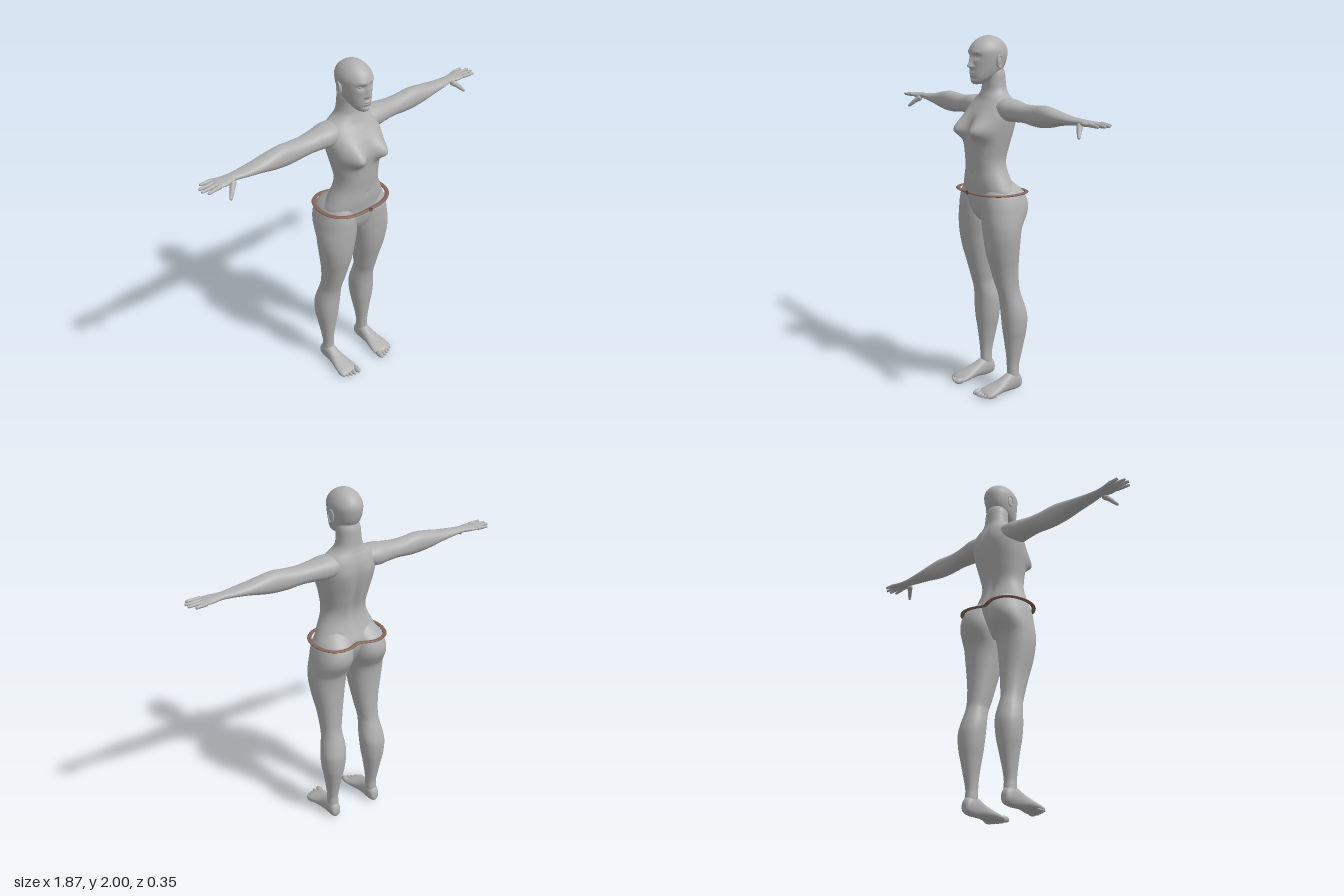
import * as THREE from 'three';

const skin = new THREE.MeshStandardMaterial({ color: 0xb0b0b0 });
skin.name = 'grey skin';
const leather = new THREE.MeshStandardMaterial({ color: 0x84665a });
leather.name = 'brown leather';
const darkLeather = new THREE.MeshStandardMaterial({ color: 0x4a3a34 });
darkLeather.name = 'dark leather';

// Axis order of a loft: [along, first side, second side]
const AXES = { x: [0, 2, 1], y: [1, 0, 2], z: [2, 1, 0] };

// Smooth closed skin through rings of [along, minA, maxA, minB, maxB]
function loft(axis, rings, { sides = 40, sub = 4, power = 0.92 } = {}) {
  const [T, A, B] = AXES[axis];
  const pos = [], index = [], n = (rings.length - 1) * sub;
  const at = (i) => rings[Math.min(Math.max(i, 0), rings.length - 1)];
  const sample = (k) => {
    const i = Math.min(Math.floor(k / sub), rings.length - 2), u = k / sub - i;
    return rings[0].map((_, c) => {
      const p0 = at(i - 1)[c], p1 = at(i)[c], p2 = at(i + 1)[c], p3 = at(i + 2)[c];
      return 0.5 * (2 * p1 + (p2 - p0) * u + (2 * p0 - 5 * p1 + 4 * p2 - p3) * u * u
        + (3 * p1 - p0 - 3 * p2 + p3) * u * u * u);
    });
  };
  const put = (t, a, b) => {
    const p = [0, 0, 0];
    p[T] = t; p[A] = a; p[B] = b;
    pos.push(...p);
  };
  const bend = (v) => Math.sign(v) * Math.abs(v) ** power;
  for (let k = 0; k <= n; k++) {
    const [t, a0, a1, b0, b1] = sample(k);
    for (let j = 0; j < sides; j++) {
      const w = (j / sides) * Math.PI * 2;
      put(t, (a0 + a1) / 2 + (a1 - a0) / 2 * bend(Math.cos(w)), (b0 + b1) / 2 + (b1 - b0) / 2 * bend(Math.sin(w)));
    }
  }
  for (const k of [0, n]) {
    const [t, a0, a1, b0, b1] = sample(k);
    put(t, (a0 + a1) / 2, (b0 + b1) / 2);
  }
  const low = (n + 1) * sides, high = low + 1;
  for (let j = 0; j < sides; j++) {
    const j2 = (j + 1) % sides;
    for (let k = 0; k < n; k++) {
      const a = k * sides + j, b = a + sides, c = k * sides + j2, d = c + sides;
      index.push(a, b, c, b, d, c);
    }
    index.push(low, j, j2, high, n * sides + j2, n * sides + j);
  }
  const geo = new THREE.BufferGeometry();
  geo.setAttribute('position', new THREE.Float32BufferAttribute(pos, 3));
  geo.setIndex(index);
  geo.computeVertexNormals();
  return geo;
}

// Rings symmetric about x = 0: [y, halfWidth, zBack, zFront]
const symmetric = (rows) => rows.map(([y, w, b, f]) => [y, -w, w, b, f]);

// Push the front (side 1) or back (side -1) in z by soft bumps on both halves:
// [x, y, spreadX, spreadBelow, spreadAbove, amount]
function sculpt(geo, side, bumps) {
  const p = geo.attributes.position;
  for (let i = 0; i < p.count; i++) {
    const x = Math.abs(p.getX(i)), y = p.getY(i), z = p.getZ(i);
    const fade = THREE.MathUtils.smoothstep(z * side, 0, 0.05);
    let d = 0;
    for (const [cx, cy, sx, sd, su, amount] of bumps)
      d += amount * Math.exp(-(((x - cx) / sx) ** 2) - ((y - cy) / (y < cy ? sd : su)) ** 2);
    p.setZ(i, z + d * fade);
  }
  geo.computeVertexNormals();
  return geo;
}

// Tapered round-ended digit between two points
function digit(from, to, r0, r1) {
  const a = new THREE.Vector3(...from), dir = new THREE.Vector3(...to).sub(a), len = dir.length();
  const pts = [];
  for (let i = 0; i <= 5; i++) {
    const w = (i / 5) * Math.PI / 2;
    pts.push(new THREE.Vector2(r0 * Math.sin(w), r0 - r0 * Math.cos(w)));
  }
  for (let i = 0; i <= 5; i++) {
    const w = (i / 5) * Math.PI / 2;
    pts.push(new THREE.Vector2(r1 * Math.cos(w), len - r1 + r1 * Math.sin(w)));
  }
  const q = new THREE.Quaternion().setFromUnitVectors(new THREE.Vector3(0, 1, 0), dir.normalize());
  return new THREE.LatheGeometry(pts, 14).applyQuaternion(q).translate(a.x, a.y, a.z);
}

const ellipsoid = (x, y, z, rx, ry, rz) =>
  new THREE.SphereGeometry(1, 20, 14).scale(rx, ry, rz).translate(x, y, z);

function mirrored(geo) {
  const g = geo.clone().scale(-1, 1, 1), ix = g.index.array;
  for (let i = 0; i < ix.length; i += 3) [ix[i], ix[i + 1]] = [ix[i + 1], ix[i]];
  return g;
}

export function createModel() {
  const model = new THREE.Group();
  model.name = 'figure';
  const add = (name, geo, mat = skin) => {
    const mesh = new THREE.Mesh(geo, mat);
    mesh.name = name;
    model.add(mesh);
  };
  const pair = (name, geo) => {
    add(name + 'Left', geo);
    add(name + 'Right', mirrored(geo));
  };

  // Torso and neck, with bust, navel and spine groove
  const torso = loft('y', symmetric([
    [0.98, 0.02, -0.05, 0.03], [1.0, 0.06, -0.07, 0.06], [1.05, 0.13, -0.1, 0.085],
    [1.1, 0.175, -0.12, 0.095], [1.155, 0.19, -0.125, 0.1], [1.21, 0.168, -0.105, 0.107],
    [1.28, 0.137, -0.085, 0.11], [1.34, 0.128, -0.085, 0.117], [1.42, 0.142, -0.105, 0.122],
    [1.5, 0.158, -0.125, 0.118], [1.57, 0.166, -0.135, 0.1], [1.62, 0.16, -0.132, 0.07],
    [1.655, 0.135, -0.122, 0.045], [1.682, 0.095, -0.112, 0.033], [1.71, 0.074, -0.104, 0.024],
    [1.75, 0.067, -0.1, 0.024], [1.8, 0.064, -0.095, 0.03], [1.84, 0.05, -0.08, 0.03],
  ]), { sides: 80, sub: 6 });
  sculpt(torso, 1, [
    [0.085, 1.495, 0.052, 0.042, 0.065, 0.068],
    [0, 1.25, 0.008, 0.012, 0.012, -0.008],
    [0, 1.36, 0.012, 0.08, 0.06, -0.004],
  ]);
  sculpt(torso, -1, [[0, 1.4, 0.022, 0.16, 0.2, 0.014], [0.08, 1.56, 0.04, 0.06, 0.05, -0.006]]);
  add('torso', torso);

  // Head with modelled face
  const head = loft('y', symmetric([
    [1.742, 0.018, 0.05, 0.09], [1.752, 0.034, 0.02, 0.1], [1.775, 0.052, -0.02, 0.105],
    [1.805, 0.066, -0.07, 0.107], [1.84, 0.076, -0.096, 0.107], [1.88, 0.083, -0.109, 0.109],
    [1.92, 0.084, -0.112, 0.11], [1.955, 0.071, -0.096, 0.091], [1.98, 0.05, -0.067, 0.06],
    [1.994, 0.026, -0.036, 0.03], [2.0, 0.004, -0.005, 0.003],
  ]), { sides: 112, sub: 8, power: 0.95 });
  sculpt(head, 1, [
    [0.034, 1.89, 0.019, 0.014, 0.011, -0.011], // eye sockets
    [0.032, 1.913, 0.026, 0.008, 0.012, 0.004], // brows
    [0, 1.838, 0.012, 0.009, 0.02, 0.025], // nose tip
    [0, 1.87, 0.009, 0.025, 0.025, 0.011], // nose bridge
    [0.014, 1.835, 0.007, 0.007, 0.008, 0.008], // nostril wings
    [0, 1.803, 0.019, 0.005, 0.006, 0.008], // upper lip
    [0, 1.79, 0.016, 0.006, 0.005, 0.007], // lower lip
    [0, 1.775, 0.025, 0.006, 0.006, -0.004],
    [0, 1.757, 0.02, 0.012, 0.01, 0.004], // chin
  ]);
  add('head', head);
  pair('eye', ellipsoid(0.034, 1.89, 0.081, 0.014, 0.01, 0.012));
  const lid = new THREE.CatmullRomCurve3([[0.018, 1.887, 0.091], [0.026, 1.898, 0.094],
    [0.036, 1.9, 0.092], [0.045, 1.896, 0.085], [0.051, 1.889, 0.079]].map((p) => new THREE.Vector3(...p)));
  pair('eyelid', new THREE.TubeGeometry(lid, 16, 0.0025, 8));
  pair('ear', ellipsoid(0.086, 1.862, -0.012, 0.008, 0.033, 0.018).rotateX(0));
  pair('earRim', new THREE.TorusGeometry(0.019, 0.004, 8, 28).scale(0.9, 1.7, 1)
    .rotateY(Math.PI / 2 + 0.25).translate(0.092, 1.864, -0.014));

  // Legs, rising into the hips and buttocks
  pair('leg', loft('y', [
    [0.05, 0.108, 0.17, -0.12, -0.05], [0.1, 0.105, 0.168, -0.116, -0.045],
    [0.14, 0.105, 0.167, -0.114, -0.044], [0.2, 0.1, 0.174, -0.125, -0.04],
    [0.3, 0.083, 0.19, -0.146, -0.028], [0.36, 0.071, 0.202, -0.156, -0.02],
    [0.44, 0.062, 0.207, -0.16, -0.013], [0.5, 0.06, 0.2, -0.147, -0.009],
    [0.56, 0.067, 0.188, -0.128, 0.002], [0.6, 0.069, 0.185, -0.116, 0.014],
    [0.65, 0.06, 0.187, -0.11, 0.03], [0.73, 0.047, 0.196, -0.106, 0.053],
    [0.81, 0.033, 0.212, -0.105, 0.075], [0.9, 0.019, 0.227, -0.108, 0.089],
    [0.96, 0.008, 0.23, -0.117, 0.094], [1.0, 0.003, 0.228, -0.138, 0.097],
    [1.05, 0, 0.222, -0.165, 0.098], [1.1, 0, 0.213, -0.17, 0.097],
    [1.155, 0.002, 0.195, -0.15, 0.088], [1.2, 0.012, 0.16, -0.105, 0.065],
    [1.24, 0.03, 0.115, -0.06, 0.03],
  ], { sides: 48 }));

  // Feet and toes
  pair('foot', loft('z', [
    [-0.132, 0.022, 0.058, 0.124, 0.152], [-0.122, 0.008, 0.085, 0.111, 0.165],
    [-0.09, 0, 0.112, 0.103, 0.172], [-0.05, 0, 0.106, 0.102, 0.174],
    [0, 0.003, 0.08, 0.097, 0.182], [0.05, 0.002, 0.058, 0.086, 0.194],
    [0.09, 0, 0.044, 0.079, 0.2], [0.115, 0.002, 0.034, 0.08, 0.198],
    [0.13, 0.008, 0.024, 0.09, 0.185],
  ]));
  [[0.095, 0.165, 0.018], [0.123, 0.161, 0.014], [0.146, 0.153, 0.013], [0.167, 0.143, 0.0125], [0.187, 0.131, 0.012]]
    .forEach(([x, tip, r], i) => pair('toe' + (i + 1), ellipsoid(x, r, tip - 0.032, r * 0.9, r, 0.032)));

  // Arms running into the palms
  pair('arm', loft('x', [
    [0.05, -0.09, 0, 1.6, 1.65], [0.11, -0.115, 0.03, 1.56, 1.667],
    [0.17, -0.115, 0.032, 1.549, 1.668], [0.22, -0.105, 0.023, 1.552, 1.66],
    [0.3, -0.095, 0.015, 1.555, 1.652], [0.38, -0.09, 0.012, 1.547, 1.656],
    [0.45, -0.088, 0.012, 1.547, 1.662], [0.52, -0.088, 0.012, 1.557, 1.653],
    [0.6, -0.085, 0.008, 1.575, 1.638], [0.68, -0.078, 0, 1.587, 1.628],
    [0.75, -0.073, -0.012, 1.593, 1.624], [0.8, -0.082, 0, 1.592, 1.622],
    [0.84, -0.091, -0.001, 1.597, 1.62], [0.86, -0.084, -0.008, 1.602, 1.616],
  ]));
  [[-0.011, 0.92, 0.001], [-0.034, 0.937, -0.03], [-0.057, 0.934, -0.058], [-0.08, 0.908, -0.09]]
    .forEach(([z, tipX, tipZ], i) =>
      pair('finger' + (i + 1), digit([0.835, 1.609, z], [tipX, 1.607, tipZ], 0.0115, 0.0075)));
  pair('thumbBase', digit([0.755, 1.603, -0.025], [0.797, 1.566, 0.016], 0.017, 0.012));
  pair('thumbTip', digit([0.785, 1.577, 0.005], [0.818, 1.541, 0.033], 0.0125, 0.008));

  // Flat belt standing off the hips, with a notch behind
  const half = [[0.07, 0.127], [0.14, 0.107], [0.19, 0.06], [0.211, 0], [0.206, -0.07],
    [0.178, -0.13], [0.13, -0.16], [0.08, -0.163], [0.035, -0.148]];
  const outline = [[0, 0.128], ...half, [0, -0.136], ...half.map(([x, z]) => [-x, z]).reverse()]
    .map(([x, z]) => new THREE.Vector3(x, 0, z));
  const path = new THREE.CatmullRomCurve3(outline, true);
  add('belt', new THREE.TubeGeometry(path, 140, 0.012, 12, true).scale(1, 0.45, 1).translate(0, 1.155, 0), leather);
  add('buckle', new THREE.TorusGeometry(0.009, 0.003, 8, 20).translate(0, 1.155, 0.139), darkLeather);
  return model;
}
